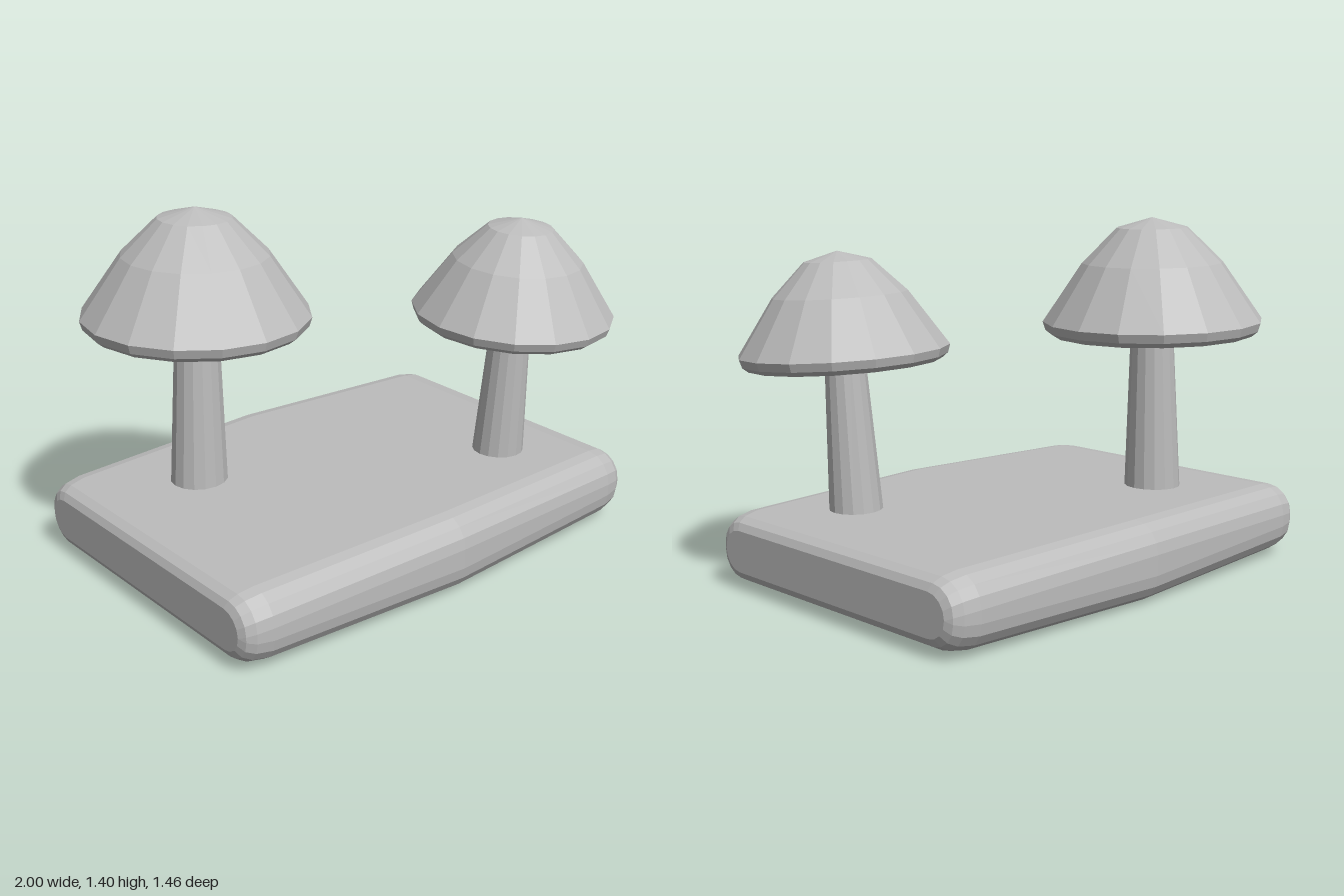
import * as THREE from 'three';

const grey = new THREE.MeshStandardMaterial({ color: 0xbcbcbc, flatShading: true });
grey.name = 'plain grey';

// Rounded slab lofted along x, slightly swollen at its middle
function slabGeometry() {
  const ends = [[0.983, 0.055], [0.968, 0.028], [0.935, 0.01], [0.87, 0]]; // distance from middle, inset
  const stations = [
    ...ends.map(([x, inset]) => [-x, inset]),
    [0, 0],
    ...ends.slice().reverse(),
  ];
  const cornerSteps = 4, ring = 4 * (cornerSteps + 1);
  const positions = [], index = [];
  for (const [x, inset] of stations) {
    const swell = 1 - Math.abs(x) / 0.983;
    const halfZ = 0.676 + 0.044 * swell - inset;
    const halfY = 0.137 + 0.018 * swell - inset;
    const r = 0.115 - inset * 0.6;
    const rz = Math.min(r, halfZ), ry = Math.min(r, halfY);
    for (let q = 0; q < 4; q++) {
      const sz = q === 0 || q === 3 ? 1 : -1, sy = q < 2 ? 1 : -1;
      for (let k = 0; k <= cornerSteps; k++) {
        const a = (q + k / cornerSteps) * Math.PI / 2;
        positions.push(x, sy * (halfY - ry) + ry * Math.sin(a), sz * (halfZ - rz) + rz * Math.cos(a));
      }
    }
  }
  const last = stations.length - 1;
  for (let i = 0; i < last; i++) {
    for (let k = 0; k < ring; k++) {
      const a = i * ring + k, b = i * ring + (k + 1) % ring;
      index.push(a, a + ring, b, b, a + ring, b + ring);
    }
  }
  // End faces
  const c = positions.length / 3;
  positions.push(stations[0][0], 0, 0, stations[last][0], 0, 0);
  for (let k = 0; k < ring; k++) {
    const n = (k + 1) % ring;
    index.push(c, k, n, c + 1, last * ring + n, last * ring + k);
  }
  const g = new THREE.BufferGeometry();
  g.setAttribute('position', new THREE.Float32BufferAttribute(positions, 3));
  g.setIndex(index);
  g.computeVertexNormals();
  return g;
}

function part(name, geometry) {
  const mesh = new THREE.Mesh(geometry, grey);
  mesh.name = name;
  return mesh;
}

// Mushroom with its origin at the middle of the cap's underside
function mushroom(name, position, lean, scale, stemLength, topRadius, baseRadius) {
  const group = new THREE.Group();
  group.name = name;
  const profile = [[0, 0], [0.41, 0], [0.435, 0.02], [0.446, 0.055], [0.285, 0.29], [0.143, 0.43], [0, 0.47]]
    .map(([r, y]) => new THREE.Vector2(r * scale, y * scale));
  const cap = part('cap', new THREE.LatheGeometry(profile, 16));
  const stem = part('stem', new THREE.CylinderGeometry(topRadius, baseRadius, stemLength, 16));
  stem.position.y = 0.01 - stemLength / 2;
  group.add(cap, stem);
  group.position.set(...position);
  group.quaternion.setFromUnitVectors(
    new THREE.Vector3(0, 1, 0),
    new THREE.Vector3(lean[0], 1, lean[1]).normalize(),
  );
  return group;
}

export function createModel() {
  const model = new THREE.Group();
  model.name = 'mushroomsOnSlab';

  const slab = part('slab', slabGeometry());
  slab.position.set(-0.017, 0.155, -0.012);
  model.add(slab);

  model.add(mushroom('tallMushroom', [-0.525, 0.935, -0.272], [0.024, 0], 1, 0.68, 0.087, 0.116));
  model.add(mushroom('shortMushroom', [0.592, 0.868, 0.324], [0.026, 0.055], 0.91, 0.61, 0.079, 0.106));
  return model;
}
